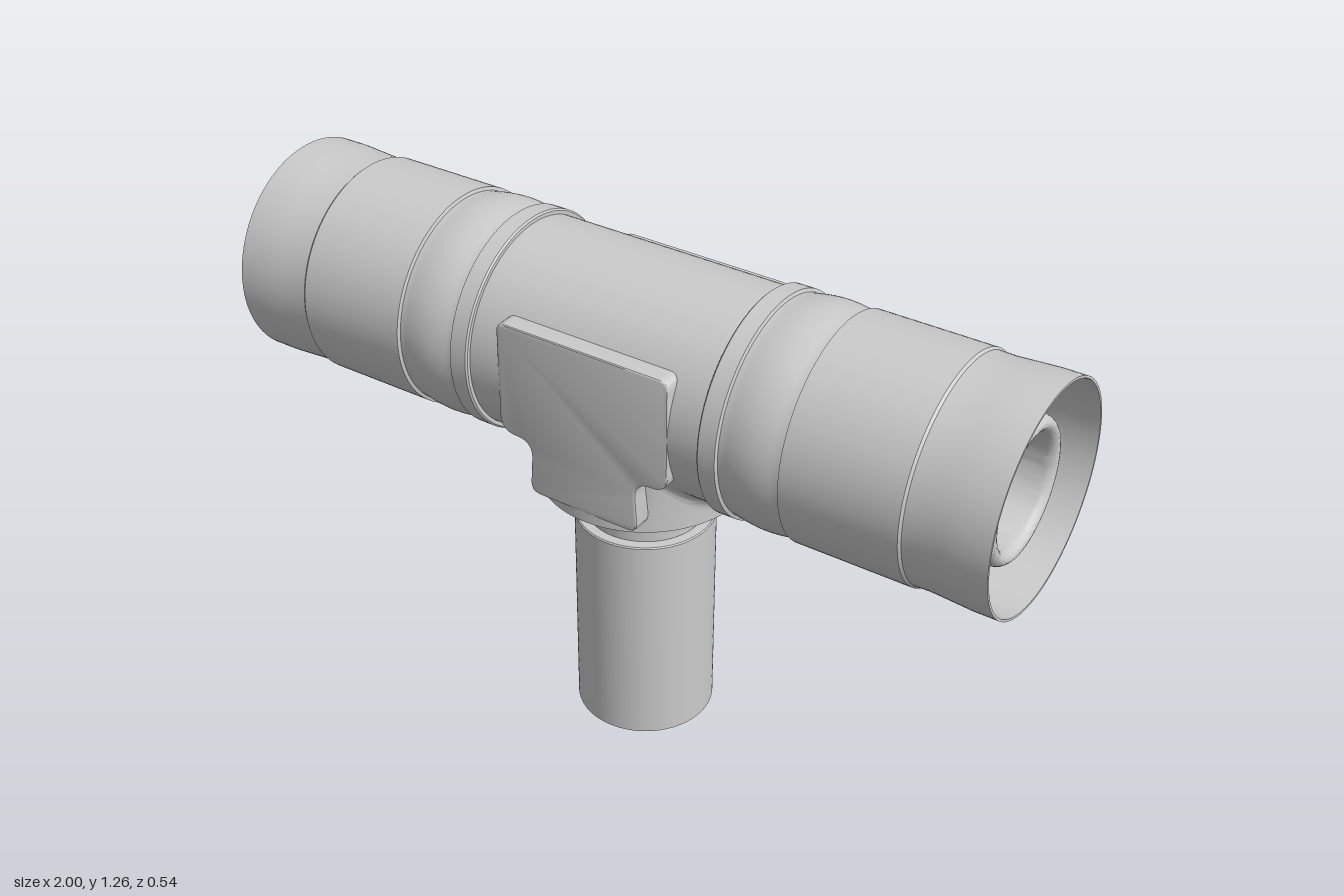
import * as THREE from 'three';
import { toCreasedNormals } from 'three/addons/utils/BufferGeometryUtils.js';

const AXIS_Y = 0.993;   // height of the main pipe axis
const BODY_R = 0.257;   // radius of the tee body
const FLANGE_Y = 0.685; // underside of the branch boss

const material = new THREE.MeshStandardMaterial({ color: 0xcccccc, side: THREE.DoubleSide });

function part(name, geometry, parent) {
  const mesh = new THREE.Mesh(geometry, material);
  mesh.name = name;
  parent.add(mesh);
  return mesh;
}

// Lathe from [radius, height] pairs; edges over about 30 degrees stay sharp
function lathe(points, segments = 96) {
  const g = new THREE.LatheGeometry(points.map(([r, y]) => new THREE.Vector2(r, y)), segments);
  return toCreasedNormals(g, 0.5);
}

// Points of a rounded spigot tip between the outer and the bore radius
function roundTip(outer, bore, end, depth) {
  const pts = [], mid = (outer + bore) / 2, half = (outer - bore) / 2;
  for (let i = 0; i <= 10; i++) {
    const a = Math.PI * i / 10;
    pts.push([mid + half * Math.cos(a), end - depth + depth * Math.sin(a)]);
  }
  return pts;
}

// Polygon with each corner rounded by its own radius: [x, y, radius]
function roundedShape(corners) {
  const shape = new THREE.Shape(), n = corners.length;
  corners.forEach(([x, y, r], i) => {
    const c = new THREE.Vector2(x, y);
    const toward = ([px, py]) => new THREE.Vector2(px, py).sub(c).setLength(r).add(c);
    const a = toward(corners[(i + n - 1) % n]), b = toward(corners[(i + 1) % n]);
    if (i === 0) shape.moveTo(a.x, a.y); else shape.lineTo(a.x, a.y);
    shape.quadraticCurveTo(x, y, b.x, b.y);
  });
  shape.closePath();
  return shape;
}

// Boss wall that flares into the underside of the body with a fillet
function bossGeometry() {
  const around = 128, rows = 10, pos = [], index = [];
  const bodyY = z => AXIS_Y - Math.sqrt(Math.max(0, BODY_R * BODY_R - z * z));
  for (let i = 0; i <= around; i++) {
    const t = i / around * Math.PI * 2, c = Math.cos(t), s = Math.sin(t);
    const fillet = 0.05 * c * c;
    const rEnd = BODY_R + fillet;
    const yCorner = bodyY(BODY_R * s), yEnd = bodyY(rEnd * s);
    const yStart = Math.max(FLANGE_Y + 0.012, yCorner - fillet);
    for (let j = 0; j <= rows; j++) {
      const u = (j - 1) / (rows - 1), v = 1 - u;
      const r = j ? v * v * BODY_R + 2 * u * v * BODY_R + u * u * rEnd : BODY_R;
      const y = j ? v * v * yStart + 2 * u * v * yCorner + u * u * yEnd : FLANGE_Y;
      pos.push(r * c, y, r * s);
      if (i < around && j < rows) {
        const a = i * (rows + 1) + j, b = a + rows + 1;
        index.push(a, a + 1, b, b, a + 1, b + 1);
      }
    }
  }
  const g = new THREE.BufferGeometry();
  g.setAttribute('position', new THREE.Float32BufferAttribute(pos, 3));
  g.setIndex(index);
  return toCreasedNormals(g, 0.6);
}

export function createModel() {
  const group = new THREE.Group();
  group.name = 'pipeTee';

  // Central body along x
  const body = part('body', lathe([[BODY_R, -0.32], [BODY_R, 0.32]]), group);
  body.rotation.z = -Math.PI / 2;
  body.position.y = AXIS_Y;

  // Press sleeve with its inner spigot, one at each end
  const bulge = [];
  for (let i = 0; i <= 10; i++) {
    bulge.push([0.262 + 0.008 * Math.sin(Math.PI * i / 10), 0.365 + 0.14 * i / 10]);
  }
  const sleeveProfile = [
    [BODY_R - 0.02, 0.31], [0.266, 0.31], [0.27, 0.314], [0.27, 0.357], [0.262, 0.36],
    ...bulge,
    [0.262, 0.51], [0.27, 0.513], [0.27, 0.797], [0.265, 0.803], [0.264, 0.84],
    [0.267, 0.89], [0.27, 0.94], [0.27, 1],
    [0.264, 1], [0.261, 0.94], [0.256, 0.86], [0.252, 0.8], [0.242, 0.79], [0.242, 0.5], [0.17, 0.5],
  ];
  const spigotProfile = [[0.17, 0.5], ...roundTip(0.17, 0.13, 0.96, 0.03), [0.13, 0]];
  for (const [side, sign] of [['left', 1], ['right', -1]]) {
    const end = new THREE.Group();
    end.name = side + 'End';
    end.rotation.z = -sign * Math.PI / 2;
    end.position.y = AXIS_Y;
    part('pressSleeve', lathe(sleeveProfile), end);
    part('spigot', lathe(spigotProfile), end);
    group.add(end);
  }

  // Boss under the body
  part('branchBoss', bossGeometry(), group);

  // Boss underside with the fillet into the neck
  const neck = [[0.145, 0.57]];
  for (let i = 0; i <= 8; i++) {
    const a = Math.PI / 2 * i / 8;
    neck.push([0.177 - 0.032 * Math.cos(a), 0.652 + (FLANGE_Y - 0.652) * Math.sin(a)]);
  }
  neck.push([BODY_R, FLANGE_Y]);
  part('branchNeck', lathe(neck), group);

  // Branch sleeve, open at the bottom
  part('branchSleeve', lathe([
    [0.1, 0.5], [0.155, 0.5], [0.155, 0.01], [0.16, 0], [0.172, 0],
    [0.172, 0.572], [0.169, 0.575], [0.14, 0.575],
  ]), group);
  const branchTip = roundTip(0.1, 0.073, -0.03, 0.02).map(([r, y]) => [r, -y]).reverse();
  part('branchSpigot', lathe([[0.073, 0.87], ...branchTip, [0.1, 0.5]]), group);

  // Flat pads on front and back
  const half = [
    [0.15, 0.71, 0.03], [0.14, 0.85, 0.045], [0.23, 0.85, 0.045], [0.23, 1.14, 0.025],
  ];
  const outline = [...half, ...half.map(([x, y, r]) => [-x, y, r]).reverse()];
  const bevel = 0.006;
  const padGeometry = toCreasedNormals(new THREE.ExtrudeGeometry(roundedShape(outline), {
    depth: 0.052, bevelEnabled: true, bevelThickness: bevel, bevelSize: bevel,
    bevelOffset: -bevel, bevelSegments: 3, curveSegments: 8,
  }), 0.5);
  padGeometry.translate(0, 0, 0.2);
  for (const [name, turn] of [['frontPad', 0], ['backPad', Math.PI]]) {
    part(name, padGeometry, group).rotation.y = turn;
  }
  return group;
}
